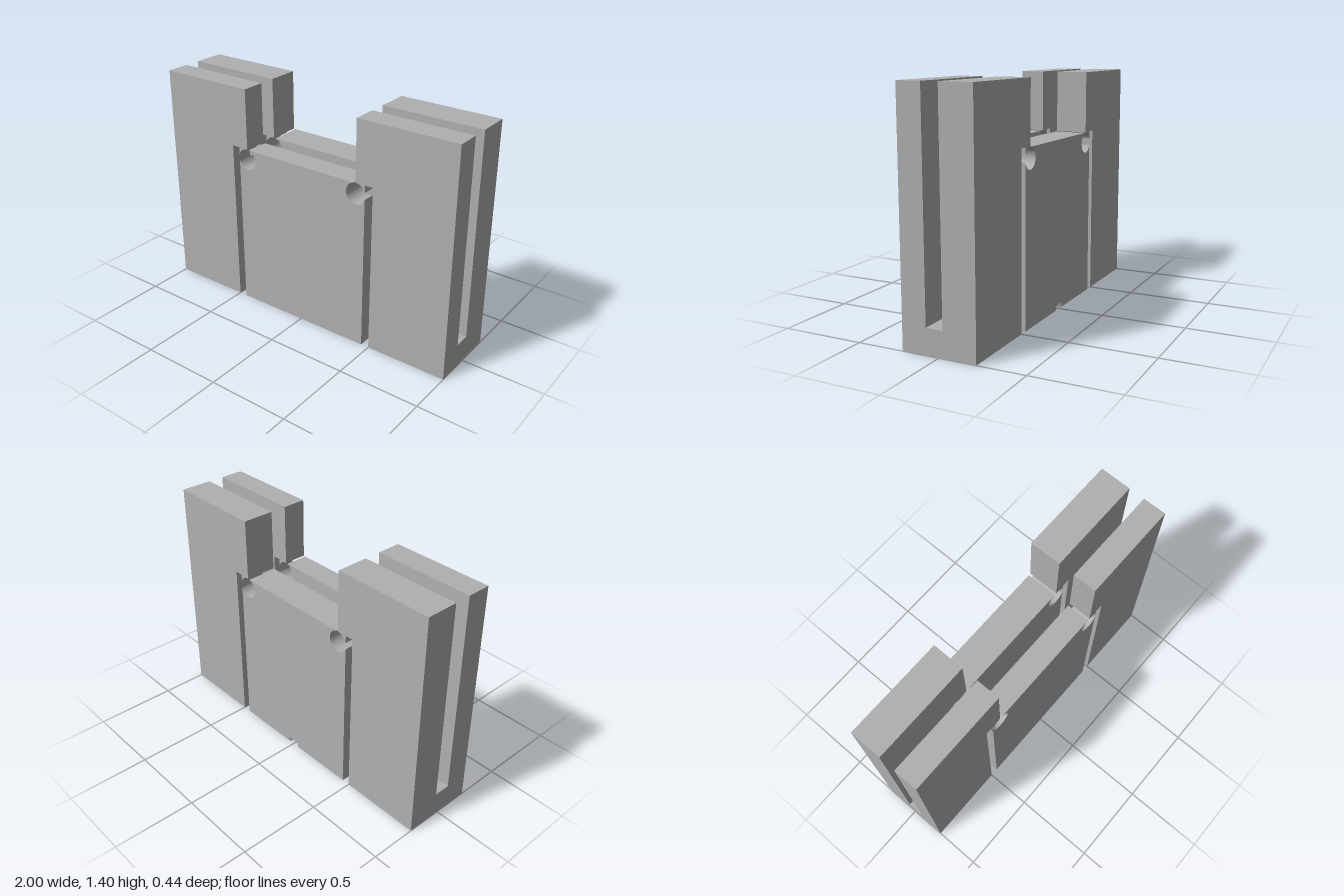
import * as THREE from 'three';

const BACK = -0.22, GROOVE_BACK = -0.025, GROOVE_FRONT = 0.075, FRONT = 0.22;
const FLOOR = 0.15;                       // height of the groove floor
const HX = 0.39, HY = 0.965, R = 0.0635;  // relief holes at the shoulders
const NOTCH = 0.03;                       // height of the rear V notch

// points along a relief-hole edge, between two angles
function holeArc(from, to, n) {
  const pts = [];
  for (let i = 0; i <= n; i++) {
    const a = from + (to - from) * i / n;
    pts.push([HX + R * Math.cos(a), HY + R * Math.sin(a)]);
  }
  return pts;
}

const mirror = (pts) => pts.map(([x, y]) => [-x, y]);
const toShape = (pts) => new THREE.Shape(pts.map(([x, y]) => new THREE.Vector2(x, y)));

export function createModel() {
  const model = new THREE.Group();
  const grey = new THREE.MeshStandardMaterial({ color: 0xb0b0b0 });
  grey.name = 'grey';

  function add(name, geometry, parent) {
    const mesh = new THREE.Mesh(geometry, grey);
    mesh.name = name;
    parent.add(mesh);
    return mesh;
  }
  // upright slab cut from a front profile
  function slab(name, pts, z0, z1, parent) {
    const geo = new THREE.ExtrudeGeometry(toShape(pts), { depth: z1 - z0, bevelEnabled: false });
    add(name, geo.translate(0, 0, z0), parent);
  }
  function grooveFloor(x0, x1, parent) {
    const geo = new THREE.BoxGeometry(x1 - x0, FLOOR, GROOVE_FRONT - GROOVE_BACK);
    add('grooveFloor', geo.translate((x0 + x1) / 2, FLOOR / 2, (GROOVE_BACK + GROOVE_FRONT) / 2), parent);
  }

  // side towers: two slabs joined by a low floor, with a lip over the slot
  const slotAngle = Math.acos((0.45 - HX) / R);
  const towerPts = [
    [0.5, 0], [1, 0], [1, 1.4], [0.388, 1.4],
    ...holeArc(Math.PI / 2 + 0.03, slotAngle, 12),
    [0.45, 1.03], [0.5, 1.03],
  ];
  for (const side of [1, -1]) {
    const tower = new THREE.Group();
    tower.name = side > 0 ? 'leftTower' : 'rightTower';
    const pts = side > 0 ? towerPts : mirror(towerPts);
    slab('frontSlab', pts, GROOVE_FRONT, FRONT, tower);
    slab('backSlab', pts, BACK, GROOVE_BACK, tower);
    grooveFloor(side > 0 ? 0.5 : -1, side > 0 ? 1 : -0.5, tower);
    model.add(tower);
  }

  // centre block with scooped upper corners
  const block = new THREE.Group();
  block.name = 'centreBlock';
  const scoop = holeArc(-slotAngle, 1.79 - Math.PI * 2, 40);
  const blockPts = (y0) => [
    [-0.45, y0], [0.45, y0], ...scoop, ...mirror(scoop).reverse(),
  ];
  slab('frontSlab', blockPts(0), GROOVE_FRONT, FRONT, block);
  slab('backSlab', blockPts(NOTCH), BACK, GROOVE_BACK, block);
  grooveFloor(-0.45, 0.45, block);

  // bottom layer of the back slab, with a small V notch in its rear edge
  const foot = new THREE.ExtrudeGeometry(toShape([
    [-0.45, BACK], [-0.04, BACK], [0, BACK + 0.06], [0.04, BACK],
    [0.45, BACK], [0.45, GROOVE_BACK], [-0.45, GROOVE_BACK],
  ]), { depth: NOTCH, bevelEnabled: false });
  add('notchedFoot', foot.rotateX(Math.PI / 2).translate(0, NOTCH, 0), block);
  model.add(block);

  return model;
}
